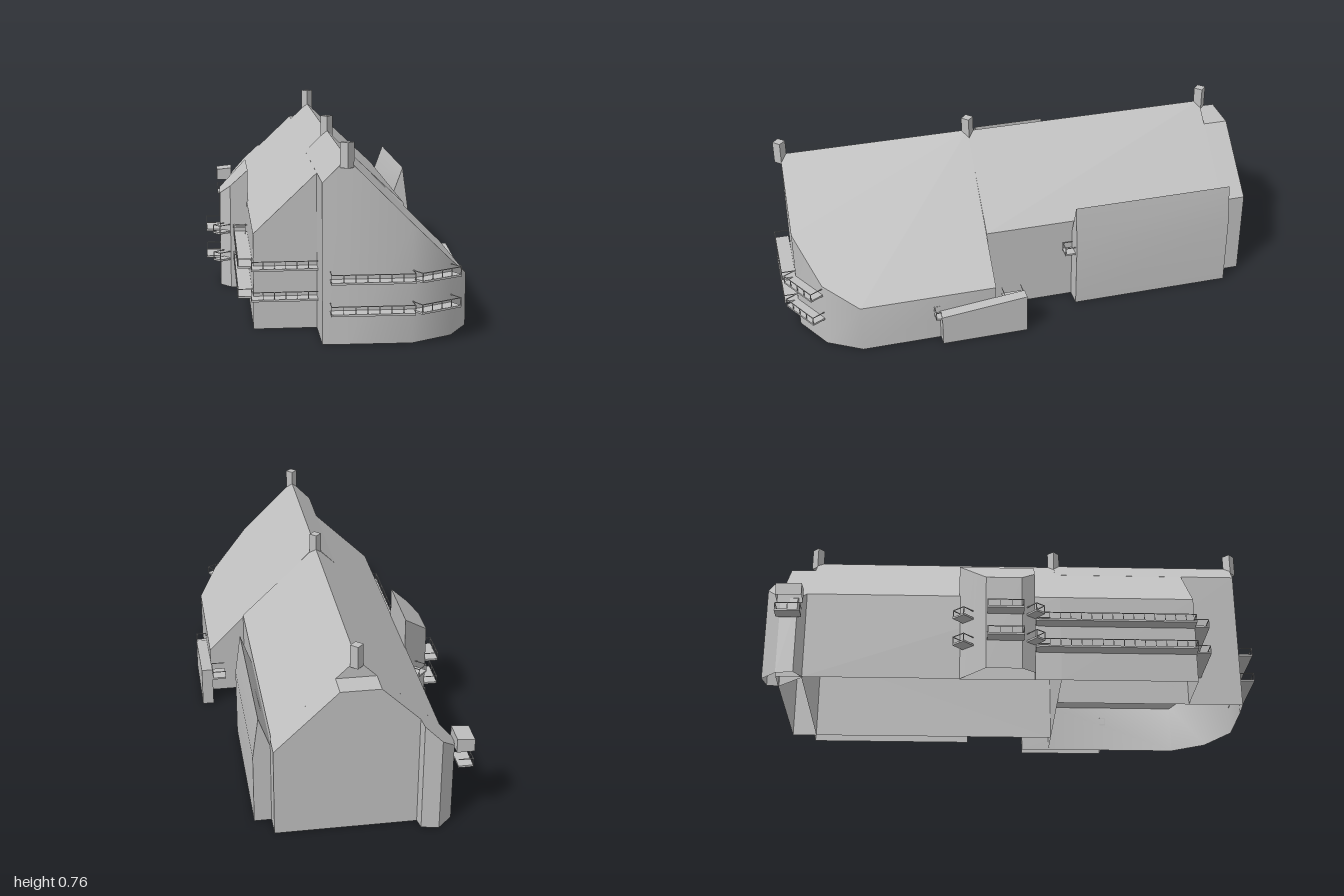
import * as THREE from 'three';
import { toCreasedNormals } from 'three/addons/utils/BufferGeometryUtils.js';

const grey = new THREE.MeshStandardMaterial({ color: 0xc0c0c0, side: THREE.DoubleSide });
grey.name = 'plain grey';

// Plan positions are (u, v): u runs along the ridge, v across it. Local x = u, z = -v.
const TURN = -0.801;
const RIDGE = -0.027;
const mainRoof = (u, v) => 0.699 - 0.95 * Math.abs(v - RIDGE);
const wingRoof = (u, v) => 0.704 - 1.0 * Math.abs(v - RIDGE);

// Open-bottomed shell: roof panels over plan polygons, and walls round a closed
// outline from the base up to the roof. All plans run counter-clockwise.
function shell(name, panels, outline, roof, base = 0) {
  const pos = [];
  const at = ([u, v], y) => [u, y, -v];
  const tri = (a, b, c) => pos.push(...a, ...b, ...c);
  for (const panel of panels) {
    const top = panel.map(p => at(p, roof(...p)));
    for (let i = 1; i < top.length - 1; i++) tri(top[0], top[i], top[i + 1]);
  }
  outline.forEach((p, i) => {
    const q = outline[(i + 1) % outline.length];
    const a = at(p, base), b = at(q, base), c = at(q, roof(...q)), d = at(p, roof(...p));
    tri(a, b, c);
    tri(a, c, d);
  });
  const geo = new THREE.BufferGeometry();
  geo.setAttribute('position', new THREE.Float32BufferAttribute(pos, 3));
  const mesh = new THREE.Mesh(toCreasedNormals(geo, 0.6), grey);
  mesh.name = name;
  return mesh;
}

const rect = (u1, v1, u2, v2) => [[u1, v1], [u2, v1], [u2, v2], [u1, v2]];

// Shell with a single roof panel
const simple = (name, plan, roof, base) => shell(name, [plan], plan, roof, base);

function box(w, h, d, x, y, z) {
  const mesh = new THREE.Mesh(new THREE.BoxGeometry(w, h, d), grey);
  mesh.position.set(x, y, z);
  return mesh;
}

// Balcony hung on the wall line p -> q, with floor, hand rail and posts
function balcony([u1, v1, u2, v2], y, deep = 0.06) {
  const g = new THREE.Group();
  g.name = 'balcony';
  const len = Math.hypot(u2 - u1, v2 - v1), high = 0.037, t = 0.003;
  g.position.set(u1, y, -v1);
  g.rotation.y = Math.atan2(v2 - v1, u2 - u1);
  g.add(box(len, 0.008, deep, len / 2, 0.004, deep / 2));
  g.add(box(len, t, t, len / 2, high, deep - t / 2));
  for (const x of [t / 2, len - t / 2]) g.add(box(t, t, deep, x, high, deep / 2));
  const n = Math.max(1, Math.round(len / 0.045));
  for (let i = 0; i <= n; i++) {
    g.add(box(t, high, t, t / 2 + (len - t) * i / n, high / 2, deep - t / 2));
  }
  return g;
}

export function createModel() {
  const model = new THREE.Group();
  const house = new THREE.Group();
  house.name = 'house';
  house.rotation.y = TURN;
  model.add(house);

  // Main gabled block
  house.add(shell('mainBlock',
    [rect(-0.82, -0.365, 0.244, RIDGE), rect(-0.82, RIDGE, 0.244, 0.308)],
    [[-0.82, -0.365], [0.244, -0.365], [0.244, RIDGE], [0.244, 0.308], [-0.82, 0.308], [-0.82, RIDGE]],
    mainRoof));

  // Lower end section with a flat ledge below the ridge
  const ledge = [-0.108, 0.054];
  house.add(shell('ledgeEnd',
    [rect(-0.925, -0.365, -0.82, ledge[0]), rect(-0.925, ledge[0], -0.82, ledge[1]), rect(-0.925, ledge[1], -0.82, 0.312)],
    [[-0.925, 0.312], [-0.925, ledge[1]], [-0.925, ledge[0]], [-0.925, -0.365], [-0.82, -0.365],
      [-0.82, ledge[0]], [-0.82, ledge[1]], [-0.82, 0.312]],
    (u, v) => Math.min(0.622, mainRoof(u, v))));

  // Corner turret under the extended roof slope
  house.add(simple('cornerTurret', [[-0.922, -0.262], [-0.972, -0.27], [-0.985, -0.34],
    [-0.922, -0.403], [-0.849, -0.416], [-0.815, -0.36]], mainRoof));

  // Front extension continuing the main roof slope
  house.add(simple('frontExtension', rect(0.244, -0.365, 0.808, -0.118), mainRoof));

  // Wing with a long low slope and a rounded end
  const round = [[1.047, RIDGE], [1.052, 0.22], [0.96, 0.383], [0.82, 0.466], [0.244, 0.466]];
  house.add(shell('wing',
    [[[0.244, RIDGE], ...round], [[0.244, -0.118], [1.04, -0.118], [1.047, RIDGE], [0.244, RIDGE]]],
    [[0.244, -0.118], [1.04, -0.118], ...round, [0.244, RIDGE]], wingRoof));

  // Bay on the long front wall
  house.add(simple('bay', [[-0.18, -0.36], [-0.12, -0.423], [-0.07, -0.48], [0.078, -0.48],
    [0.134, -0.436], [0.135, -0.36]], (u, v) => 0.41 + 0.9 * (v + 0.48)));

  // Raised parapet wall along the back
  const [inner, crest, outer] = [0.308, 0.358, 0.382];
  house.add(shell('parapetWall',
    [rect(-0.83, inner, -0.135, crest), rect(-0.83, crest, -0.135, outer)],
    [[-0.83, inner], [-0.135, inner], [-0.135, crest], [-0.135, outer], [-0.83, outer], [-0.83, crest]],
    (u, v) => 0.475 - Math.abs(v - crest) * (v > crest ? 7.3 : 2.75)));

  // Sloping ramp beside the wing
  house.add(simple('ramp', rect(0.12, 0.466, 0.487, 0.515), u => 0.135 + 0.108 * (0.487 - u)));

  // Canopy over the turret balcony
  house.add(simple('turretCanopy', rect(-0.935, -0.482, -0.828, -0.41),
    (u, v) => 0.375 + 0.1 * (v + 0.41), 0.315));

  // Chimneys on the ridge, square to the compass
  for (const u of [-0.82, 0.244, 1.047]) {
    const chimney = box(0.037, 0.095, 0.037, u, 0.7175, -RIDGE);
    chimney.name = 'chimney';
    chimney.rotation.y = -TURN;
    house.add(chimney);
  }

  // Two storeys of balconies
  const walls = [
    [0.15, -0.365, 0.808, -0.365], [0.808, -0.375, 0.808, -0.11], [-0.065, -0.48, 0.085, -0.48],
    [1.047, -0.09, 1.05, 0.225], [1.052, 0.22, 0.96, 0.383],
    [-0.165, -0.38, -0.12, -0.423], [0.098, -0.465, 0.134, -0.436], [0.137, -0.42, 0.14, -0.37],
  ];
  for (const w of walls) for (const y of [0.123, 0.243]) house.add(balcony(w, y));

  // Single balconies
  house.add(
    balcony([-0.935, -0.42, -0.83, -0.42], 0.243),
    balcony([-0.135, 0.315, -0.135, 0.365], 0.243, 0.045),
    balcony([0.206, 0.405, 0.12, 0.405], 0.123),
    balcony([0.487, 0.465, 0.487, 0.512], 0.123, 0.025));

  return model;
}
